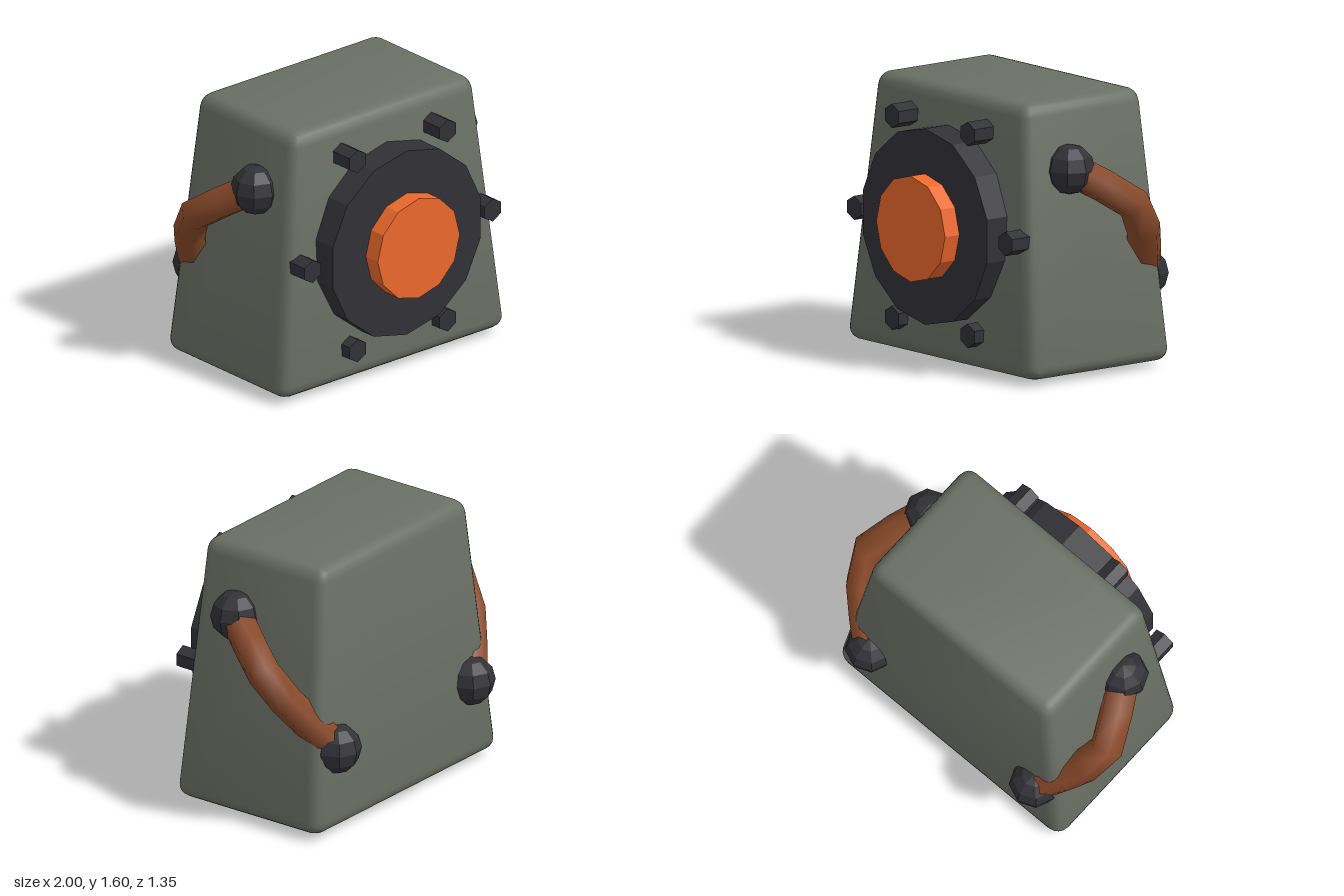
import * as THREE from 'three';
import { RoundedBoxGeometry } from 'three/addons/geometries/RoundedBoxGeometry.js';
import { toCreasedNormals } from 'three/addons/utils/BufferGeometryUtils.js';

const paint = (color, flatShading = false) => {
  const m = new THREE.MeshStandardMaterial({ color });
  m.flatShading = flatShading;
  return m;
};

export function createModel() {
  const model = new THREE.Group();
  const grey = paint(0x6b7066);
  const dark = paint(0x323136, true);
  const orange = paint(0xec682c, true);
  const copper = paint(0x8a4a2a);

  const add = (name, geometry, material, x, y, z) => {
    const mesh = new THREE.Mesh(geometry, material);
    mesh.name = name;
    mesh.position.set(x, y, z);
    model.add(mesh);
    return mesh;
  };

  // Rounded housing, narrowing towards the top
  const box = new RoundedBoxGeometry(1.525, 1.57, 0.952, 2, 0.08);
  const p = box.attributes.position;
  for (let i = 0; i < p.count; i++) {
    const y = p.getY(i);
    p.setX(i, p.getX(i) * (1 - 0.146 * y));
    p.setZ(i, p.getZ(i) * (1 - 0.13 * y));
  }
  add('housing', toCreasedNormals(box, 0.5), grey, 0, 0.815, -0.05);

  // Faceted discs facing the front, each with a corner at the top
  const disc = (name, radius, sides, back, front, material, x, y) => {
    const g = new THREE.CylinderGeometry(radius, radius, front - back, sides);
    g.rotateX(Math.PI / 2);
    g.rotateZ(sides % 4 === 0 ? 0 : Math.PI);
    return add(name, g, material, x, y, (front + back) / 2);
  };
  disc('frontPlate', 0.568, 14, 0.3, 0.565, dark, 0, 0.82);
  disc('frontLens', 0.307, 12, 0.5, 0.67, orange, 0, 0.82);

  // Ring of hexagonal bolts
  for (let i = 0; i < 6; i++) {
    const a = (i * Math.PI) / 3;
    disc('bolt', 0.07, 6, 0.38, 0.53, dark, 0.675 * Math.cos(a), 0.82 + 0.675 * Math.sin(a));
  }

  // Tilted bar showing under the base
  add('baseBar', new THREE.BoxGeometry(1.03, 0.06, 0.2), dark, 0, 0.069, 0.203).rotation.x = -0.436;

  // Side hoses with a ball joint at each end
  for (const s of [1, -1]) {
    const side = s > 0 ? 'left' : 'right';
    const path = new THREE.CatmullRomCurve3([
      new THREE.Vector3(s * 0.74, 1.21, 0.1),
      new THREE.Vector3(s * 0.905, 0.97, -0.25),
      new THREE.Vector3(s * 0.82, 0.79, -0.37),
      new THREE.Vector3(s * 0.62, 0.515, -0.535),
    ]);
    add(side + 'Hose', new THREE.TubeGeometry(path, 5, 0.1, 6), copper, 0, 0, 0);
    const ball = new THREE.SphereGeometry(0.146, 8, 6);
    add(side + 'UpperJoint', ball, dark, s * 0.735, 1.21, 0.105);
    add(side + 'LowerJoint', ball, dark, s * 0.62, 0.515, -0.53);
  }
  return model;
}
